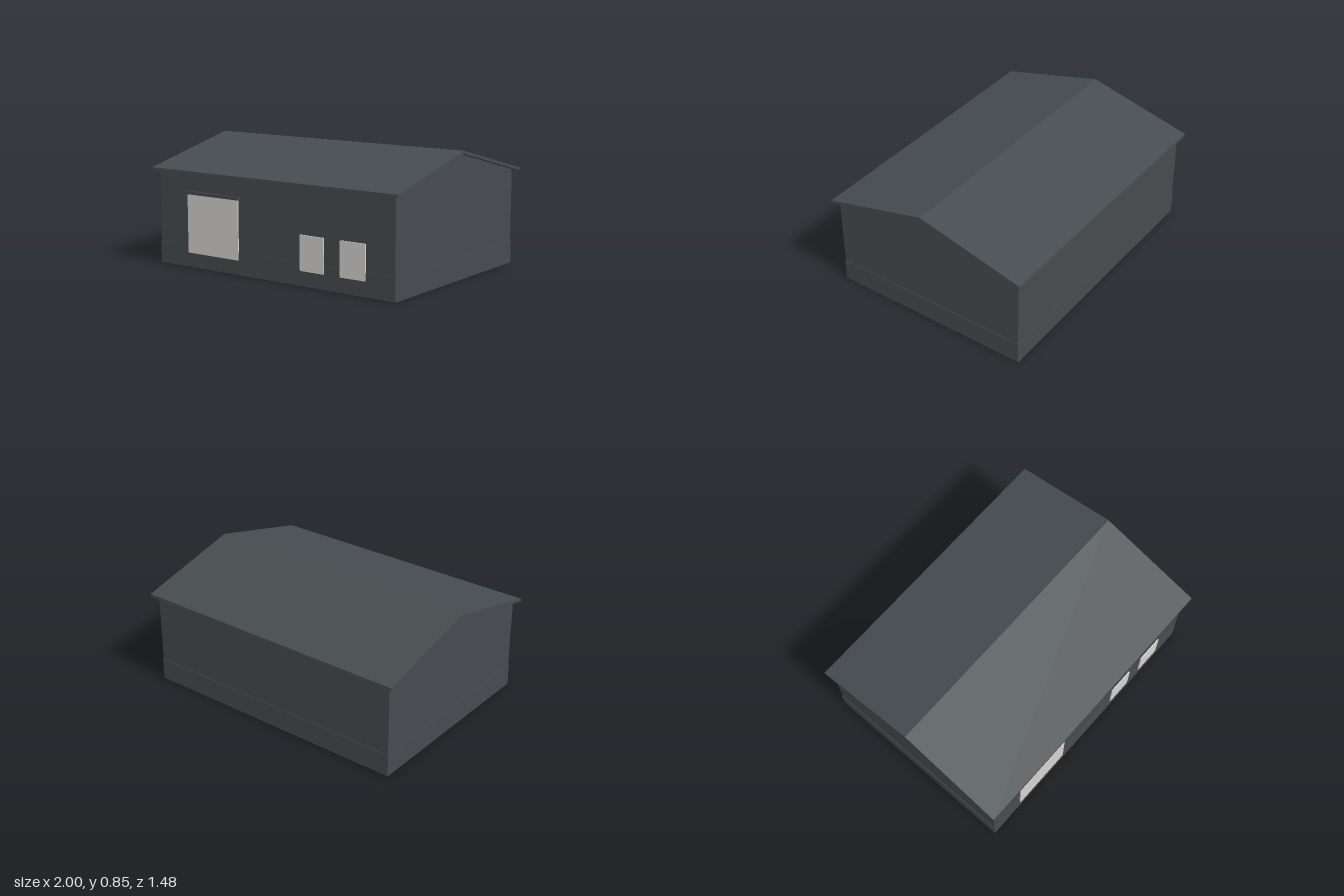
import * as THREE from 'three';

const mat = (name, color) => {
  const m = new THREE.MeshStandardMaterial({ color });
  m.name = name;
  return m;
};

export function createModel() {
  const group = new THREE.Group();
  const wallGrey = mat('wall slate grey', 0x464b4f);
  const roofGrey = mat('roof slate grey', 0x464c4f);
  const panelCream = mat('panel pale grey', 0xd4d2cc);
  const floorDark = mat('floor dark grey', 0x262626);

  const add = (name, geometry, material) => {
    const mesh = new THREE.Mesh(geometry, material);
    mesh.name = name;
    group.add(mesh);
  };
  // Box given by its lower and upper corners
  const box = (name, material, x0, x1, y0, y1, z0, z1) => {
    const g = new THREE.BoxGeometry(x1 - x0, y1 - y0, z1 - z0);
    g.translate((x0 + x1) / 2, (y0 + y1) / 2, (z0 + z1) / 2);
    add(name, g, material);
  };
  // Profile of [z, y] points extruded along x, centred on x = 0
  const prism = (name, material, points, length) => {
    const shape = new THREE.Shape(points.map(([z, y]) => new THREE.Vector2(-z, y)));
    const g = new THREE.ExtrudeGeometry(shape, { depth: length, bevelEnabled: false });
    g.translate(0, 0, -length / 2);
    g.rotateY(Math.PI / 2);
    add(name, g, material);
  };

  // Gabled walls
  prism('walls', wallGrey, [[0.704, 0.004], [0.704, 0.648], [0, 0.824], [-0.704, 0.648], [-0.704, 0.004]], 1.92);

  // Slightly projecting plinth and floor
  box('plinth', wallGrey, -0.964, 0.964, 0.003, 0.155, -0.707, 0.707);
  box('floor', floorDark, -0.964, 0.964, 0, 0.003, -0.707, 0.707);

  // Pitched roof slab with overhanging eaves
  prism('roof', roofGrey, [[0.74, 0.64], [0.74, 0.66], [0, 0.845], [-0.74, 0.66], [-0.74, 0.64], [0, 0.825]], 2);

  // Sliding door with its rail
  box('door', panelCream, -0.705, -0.265, 0.102, 0.5, 0.703, 0.713);
  box('doorRail', wallGrey, -0.73, -0.252, 0.5, 0.521, 0.703, 0.72);

  // Two small panels
  for (const [x0, x1] of [[0.245, 0.43], [0.555, 0.745]]) {
    box('windowPanel', panelCream, x0, x1, 0.102, 0.333, 0.703, 0.712);
  }

  return group;
}
